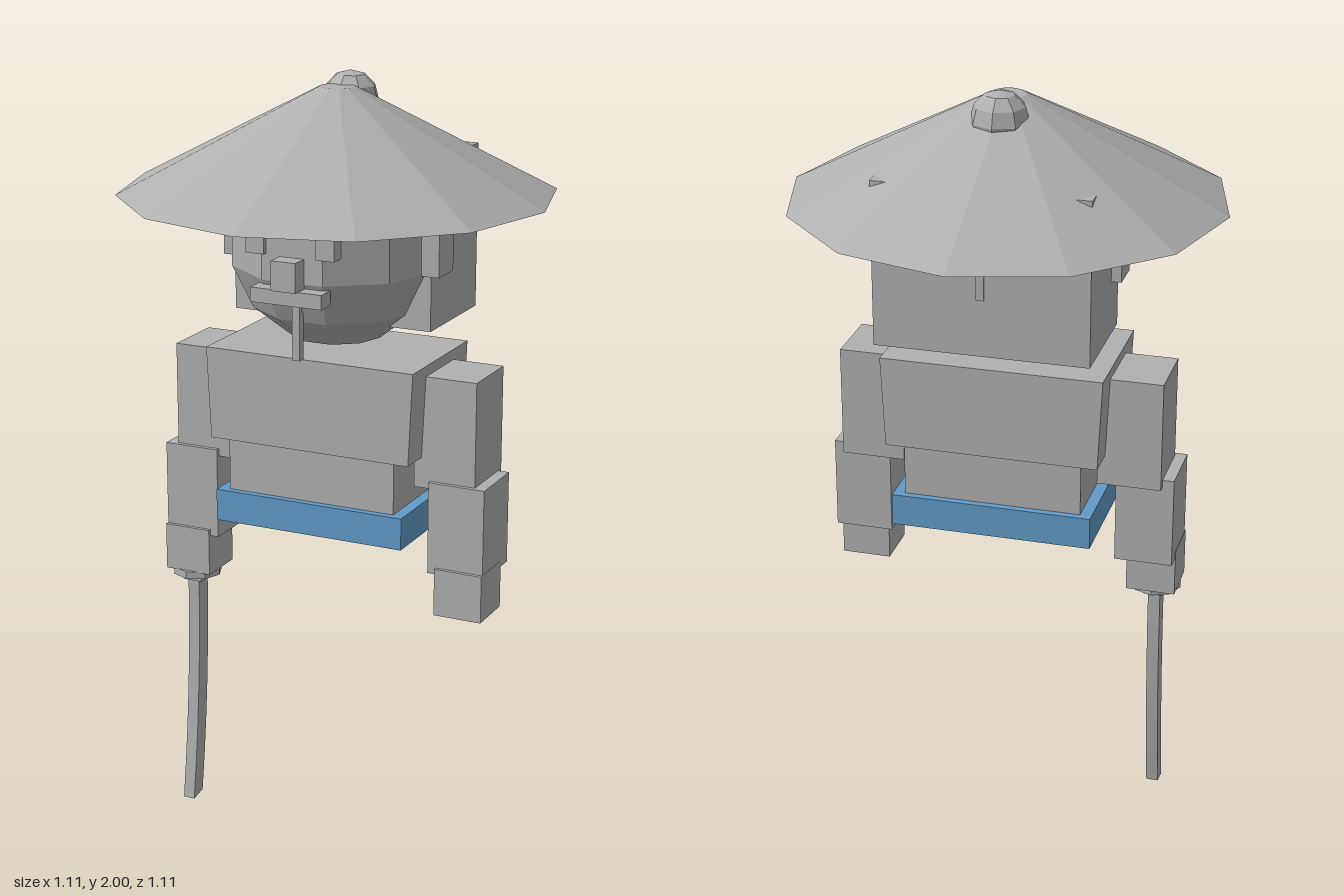
import * as THREE from 'three';

export function createModel() {
  const model = new THREE.Group();
  model.name = 'swordsman';
  const grey = new THREE.MeshStandardMaterial({ color: 0xb0b0b0, flatShading: true });
  grey.name = 'grey';
  const blue = new THREE.MeshStandardMaterial({ color: 0x629bc8, flatShading: true });
  blue.name = 'blue';

  function add(name, geometry, material = grey, parent = model) {
    const mesh = new THREE.Mesh(geometry, material);
    mesh.name = name;
    parent.add(mesh);
    return mesh;
  }
  // Box given by its limits on each axis
  function box(name, [x0, x1], [y0, y1], [z0, z1], material, parent) {
    const g = new THREE.BoxGeometry(x1 - x0, y1 - y0, z1 - z0);
    g.translate((x0 + x1) / 2, (y0 + y1) / 2, (z0 + z1) / 2);
    return add(name, g, material, parent);
  }
  // Mirrored pair of boxes
  function pair(name, [x0, x1], y, z, parent) {
    box(name + 'Left', [x0, x1], y, z, grey, parent);
    box(name + 'Right', [-x1, -x0], y, z, grey, parent);
  }

  // Head and hair
  const head = new THREE.Group();
  head.name = 'head';
  model.add(head);
  add('skull', new THREE.SphereGeometry(0.275, 10, 7).translate(0, 1.588, 0), grey, head);
  box('hair', [-0.274, 0.274], [1.382, 1.808], [-0.255, 0.035], grey, head);
  box('hairStrand', [-0.01, 0.01], [1.53, 1.66], [-0.26, -0.25], grey, head);
  pair('ear', [0.25, 0.3], [1.525, 1.635], [-0.042, 0.047], head);

  // Face
  pair('eyebrow', [0.053, 0.143], [1.673, 1.698], [0.225, 0.268], head);
  pair('eye', [0.07, 0.12], [1.594, 1.66], [0.22, 0.267], head);
  box('nose', [-0.033, 0.033], [1.515, 1.59], [0.23, 0.303], grey, head);
  box('moustache', [-0.097, 0.097], [1.478, 1.515], [0.24, 0.29], grey, head);
  box('beard', [-0.01, 0.01], [1.325, 1.48], [0.213, 0.235], grey, head);

  // Straw hat with a topknot behind its tip
  add('hat', new THREE.CylinderGeometry(0.045, 0.555, 0.265, 12).translate(0, 1.8375, 0));
  add('topknot', new THREE.SphereGeometry(0.075, 8, 6).translate(0, 1.925, -0.075));

  // Torso: the chest narrows slightly downwards
  const chest = new THREE.BoxGeometry(0.576, 0.24, 0.344);
  const c = chest.attributes.position;
  for (let i = 0; i < c.count; i++) if (c.getY(i) < 0) c.setX(i, c.getX(i) * 0.962);
  chest.translate(0, 1.19, 0);
  add('chest', chest);
  box('abdomen', [-0.232, 0.232], [0.92, 1.08], [-0.158, 0.158]);
  box('belt', [-0.262, 0.262], [0.848, 0.932], [-0.177, 0.177], blue);

  // Arms
  pair('upperArm', [0.257, 0.423], [0.99, 1.282], [-0.086, 0.088]);
  pair('forearm', [0.302, 0.453], [0.768, 1.01], [-0.065, 0.1]);
  pair('hand', [0.325, 0.454], [0.66, 0.785], [-0.02, 0.11]);

  // Sword held in the right hand, its blade curving forward
  const sword = new THREE.Group();
  sword.name = 'sword';
  sword.position.set(-0.39, 0, 0.056);
  model.add(sword);
  add('guard', new THREE.CylinderGeometry(0.066, 0.066, 0.02, 8).translate(0, 0.652, 0), grey, sword);
  box('collar', [-0.026, 0.026], [0.625, 0.65], [-0.03, 0.03], grey, sword);
  const blade = new THREE.BoxGeometry(0.032, 0.63, 0.048, 1, 6, 1);
  blade.translate(0, 0.32, 0);
  const b = blade.attributes.position;
  for (let i = 0; i < b.count; i++) {
    const t = (0.635 - b.getY(i)) / 0.63;
    const z = b.getZ(i);
    b.setY(i, b.getY(i) + (z - 0.024) * -0.16 * t - 0.005 * t);
    b.setZ(i, z + 0.051 * t * t);
  }
  add('blade', blade, grey, sword);

  return model;
}
